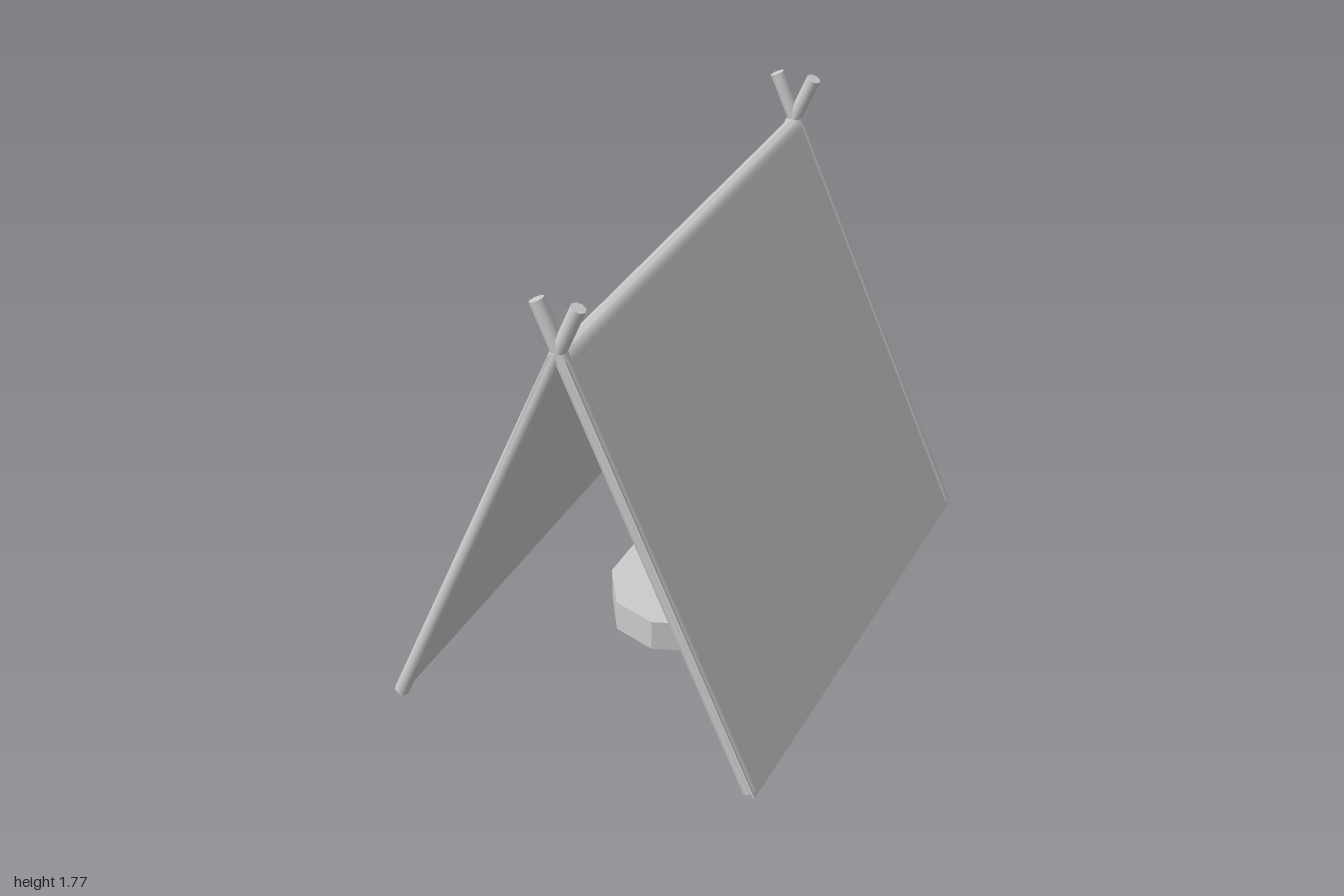
import * as THREE from 'three';
import { toCreasedNormals, mergeGeometries } from 'three/addons/utils/BufferGeometryUtils.js';

const grey = new THREE.MeshStandardMaterial({ color: 0xcccccc });
const greyDouble = new THREE.MeshStandardMaterial({ color: 0xcccccc, side: THREE.DoubleSide });

function add(parent, name, geometry, material = grey) {
  const mesh = new THREE.Mesh(geometry, material);
  mesh.name = name;
  parent.add(mesh);
  return mesh;
}

// Straight round pole between two points
function addPole(parent, name, a, b, radius) {
  const pole = add(parent, name, new THREE.CylinderGeometry(radius, radius, a.distanceTo(b), 8));
  pole.position.copy(a).add(b).multiplyScalar(0.5);
  pole.quaternion.setFromUnitVectors(new THREE.Vector3(0, 1, 0), b.clone().sub(a).normalize());
}

// Mirrored outline from [x, z] points on the +x side, centred on cx
function outline(half, cx) {
  const mirrored = half.slice(1, -1).reverse().map(([x, z]) => [-x, z]);
  return [...half, ...mirrored].map(([x, z]) => new THREE.Vector2(cx + x, -z));
}

// Open-bottomed block: walls along the outline and a top, with an optional hole
function block(points, y0, y1, hole) {
  const positions = [];
  points.forEach((p, i) => {
    const q = points[(i + 1) % points.length];
    const a = [p.x, y0, -p.y], b = [q.x, y0, -q.y], c = [q.x, y1, -q.y], d = [p.x, y1, -p.y];
    positions.push(...a, ...b, ...c, ...a, ...c, ...d);
  });
  const walls = new THREE.BufferGeometry();
  walls.setAttribute('position', new THREE.Float32BufferAttribute(positions, 3));
  walls.computeVertexNormals();
  const shape = new THREE.Shape(points);
  if (hole) shape.holes.push(new THREE.Path(hole));
  const top = new THREE.ShapeGeometry(shape).toNonIndexed();
  top.rotateX(-Math.PI / 2).translate(0, y1, 0);
  top.deleteAttribute('uv');
  return mergeGeometries([walls, top]);
}

export function createModel() {
  const model = new THREE.Group();
  model.name = 'tent';

  // Crossed poles at both ends
  for (const [end, z] of [['front', 0.972], ['back', -0.972]]) {
    addPole(model, end + 'RightPole', new THREE.Vector3(-0.673, 0.06, z), new THREE.Vector3(0.068, 1.76, z), 0.027);
    addPole(model, end + 'LeftPole', new THREE.Vector3(0.665, 0.06, z), new THREE.Vector3(-0.078, 1.76, z), 0.027);
  }

  // Thin cloth folded over a rounded ridge
  const outer = [
    [0.691, 0.052], [0.033, 1.56], [0.024, 1.577], [0.01, 1.59], [-0.005, 1.595],
    [-0.02, 1.59], [-0.034, 1.577], [-0.042, 1.56], [-0.672, 0.052],
  ];
  const inner = outer.map(([x, y]) => [x - Math.sign(x) * Math.min(0.008, Math.abs(x)), y > 1.5 ? y - 0.008 : y]).reverse();
  const section = new THREE.Shape([...outer, ...inner].map(([x, y]) => new THREE.Vector2(x, y)));
  const cloth = new THREE.ExtrudeGeometry(section, { depth: 1.975, bevelEnabled: false });
  cloth.translate(0, 0, -0.98);
  add(model, 'cloth', toCreasedNormals(cloth, 0.7), greyDouble);

  // Mattress and pillow, hollow underneath
  const mattress = outline([[0, 0.32], [0.17, 0.26], [0.275, 0.08], [0.275, -0.65], [0.185, -0.86], [0, -0.91]], -0.005);
  const pillow = outline([[0, -0.54], [0.1, -0.56], [0.148, -0.63], [0.148, -0.79], [0.1, -0.86], [0, -0.88]], -0.008).reverse();
  add(model, 'mattress', block(mattress, 0, 0.12, pillow), greyDouble);
  add(model, 'pillow', block(pillow, 0.12, 0.2), greyDouble);

  return model;
}
